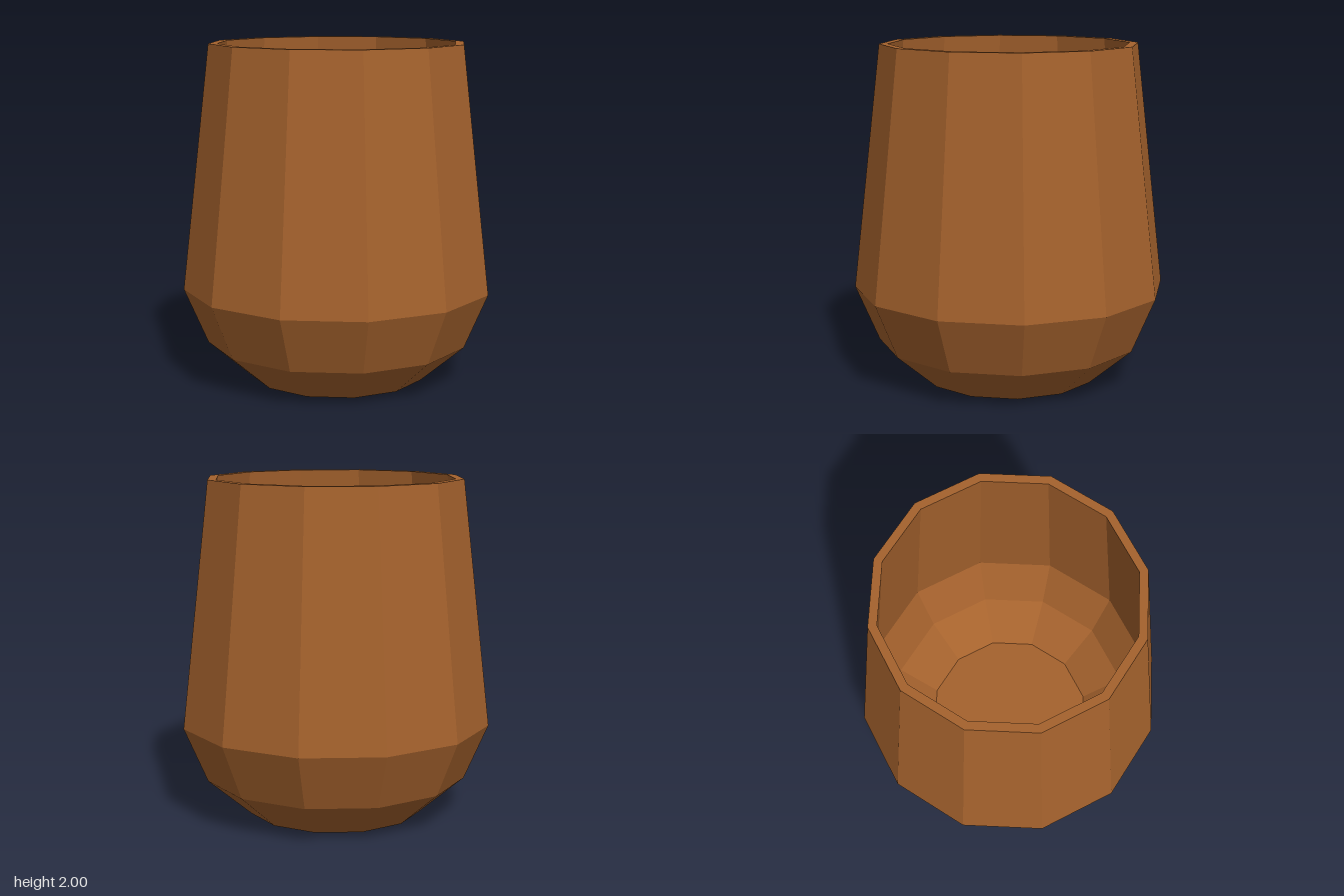
import * as THREE from 'three';

const SIDES = 12;

export function createModel() {
  const group = new THREE.Group();
  group.name = 'cup';

  // Closed profile: underside, outer wall, rim, inner wall, floor
  const profile = [
    [0, 0], [0.525, 0], [0.787, 0.225], [0.928, 0.555], [0.76, 2],
    [0.71, 2], [0.878, 0.563], [0.745, 0.255], [0.506, 0.05], [0, 0.05],
  ].map(([r, y]) => new THREE.Vector2(r, y));

  // Faceted thick-walled vessel
  const vessel = new THREE.Mesh(
    new THREE.LatheGeometry(profile, SIDES),
    new THREE.MeshStandardMaterial({ color: 0xa5622d, flatShading: true })
  );
  vessel.name = 'vessel';
  group.add(vessel);

  return group;
}
